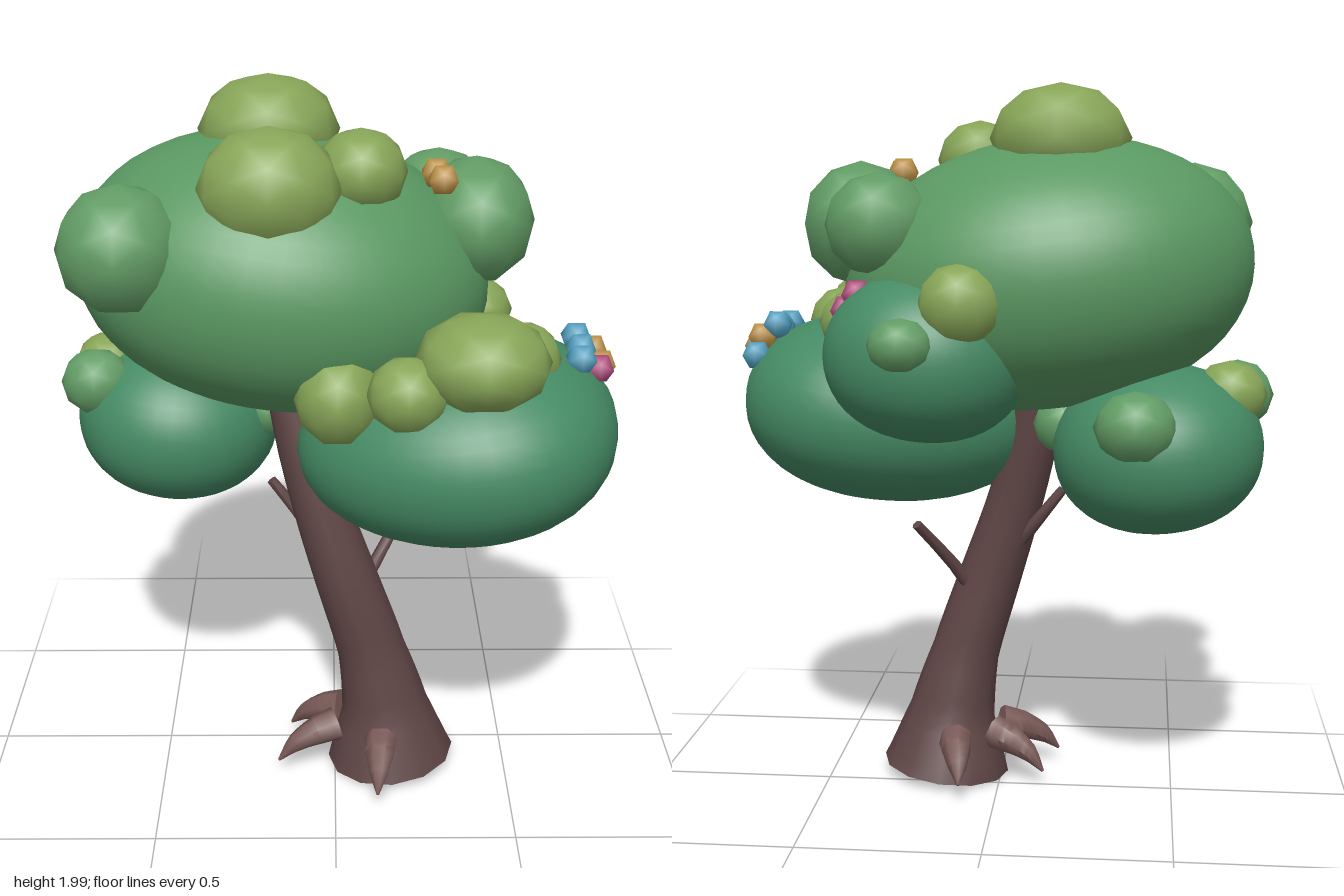
import * as THREE from 'three';
import { mergeVertices, toCreasedNormals } from 'three/addons/utils/BufferGeometryUtils.js';

const V = (p) => new THREE.Vector3(...p);

// Weld seams so that shading is continuous
function weld(geo) {
  geo.deleteAttribute('uv');
  geo.deleteAttribute('normal');
  const g = mergeVertices(geo, 1e-4);
  g.computeVertexNormals();
  return g;
}

// Leaf mass: unit sphere with a slightly fuller underside, narrowed towards -x by taper
function crownGeometry(taper) {
  const geo = new THREE.SphereGeometry(1, 36, 24);
  const p = geo.attributes.position;
  const e = 2.18;
  for (let i = 0; i < p.count; i++) {
    const y = p.getY(i), r = Math.hypot(p.getX(i), p.getZ(i));
    const full = y < 0 && r > 1e-4;
    const k = full ? Math.pow(Math.max(0, 1 - Math.pow(-y, e)), 1 / e) / r : 1;
    const x = p.getX(i) * k;
    p.setXYZ(i, x, y * (1 + taper * 0.5 * x), p.getZ(i) * k * (1 + taper * x));
  }
  return weld(geo);
}

// Tapered limb that follows a curve through rows of [x, y, z, radius]
function limbGeometry(rows, sides, steps, open = false) {
  const curve = new THREE.CatmullRomCurve3(rows.map((r) => V(r.slice(0, 3))));
  const geo = new THREE.CylinderGeometry(1, 1, 1, sides, steps, open);
  const p = geo.attributes.position;
  const q = new THREE.Quaternion(), up = new THREE.Vector3(0, 1, 0), v = new THREE.Vector3();
  for (let i = 0; i < p.count; i++) {
    const t = THREE.MathUtils.clamp(p.getY(i) + 0.5, 0, 1);
    const f = t * (rows.length - 1);
    const a = Math.min(Math.floor(f), rows.length - 2);
    const radius = THREE.MathUtils.lerp(rows[a][3], rows[a + 1][3], f - a);
    q.setFromUnitVectors(up, curve.getTangent(t).normalize());
    v.set(p.getX(i) * radius, 0, p.getZ(i) * radius).applyQuaternion(q).add(curve.getPoint(t));
    p.setXYZ(i, v.x, v.y, v.z);
  }
  return toCreasedNormals(weld(geo), 0.9);
}

export function createModel() {
  const tree = new THREE.Group();
  tree.name = 'tree';
  const mat = (color) => new THREE.MeshStandardMaterial({ color });
  const bark = mat(0x5f4545), root = mat(0x795a57);
  bark.side = THREE.DoubleSide;
  const leaf = { top: mat(0x5a9862), low: mat(0x458a64), olive: mat(0x88a658), green: mat(0x639d66) };
  const petal = { blue: mat(0x4f9fc0), pink: mat(0xb0447a), orange: mat(0xbd9043) };

  const add = (name, geo, material, parent = tree) => {
    const m = new THREE.Mesh(geo, material);
    m.name = name;
    parent.add(m);
    return m;
  };
  const group = (name) => {
    const g = new THREE.Group();
    g.name = name;
    tree.add(g);
    return g;
  };

  // Leaning trunk with a flared, open foot
  add('trunk', limbGeometry([
    [0.165, 0.028, 0.1, 0.185], [0.145, 0.2, 0.1, 0.125], [0.105, 0.38, 0.1, 0.098],
    [0.035, 0.6, 0.1, 0.09], [-0.03, 0.8, 0.085, 0.081], [-0.085, 1.0, 0.06, 0.075],
    [-0.14, 1.25, 0.02, 0.065],
  ], 12, 24, true), bark);

  // Bare twigs
  const twigs = group('twigs');
  [
    [[0.06, 0.53, 0.08, 0.022], [0.13, 0.65, 0.03, 0.018], [0.225, 0.79, -0.07, 0.014]],
    [[-0.04, 0.7, 0.06, 0.022], [-0.11, 0.79, 0.03, 0.018], [-0.18, 0.88, 0.02, 0.014]],
    [[-0.04, 0.88, 0.12, 0.02], [-0.02, 0.94, 0.15, 0.019], [-0.01, 1.02, 0.17, 0.018]],
  ].forEach((rows) => add('twig', limbGeometry(rows, 7, 4), bark, twigs));

  // Claw-like roots, arching out of the foot
  const roots = group('roots');
  [[0.12, 0.06, 0.375], [-0.165, 0.05, 0.19], [-0.13, 0.05, -0.01], [0.1, 0.06, -0.165]].forEach(([x, y, z]) => {
    const at = (k, h, r) => [0.145 + (x - 0.145) * k, h, 0.1 + (z - 0.1) * k, r];
    add('root', limbGeometry([
      at(0.45, 0.145, 0.05), at(0.64, 0.13, 0.043), at(0.84, 0.1, 0.028), at(1, y, 0.004),
    ], 7, 9), root, roots);
  });

  // Large leaf masses: name, centre, radii, tilt, taper, material
  [
    ['mainCrown', [-0.14, 1.495, -0.03], [0.56, 0.368, 0.47], -0.13, 0, leaf.top],
    ['frontCrown', [0.325, 1.09, 0.175], [0.43, 0.268, 0.4], 0.13, 0.13, leaf.low],
    ['sideCrown', [-0.445, 1.03, -0.12], [0.285, 0.23, 0.295], -0.08, 0, leaf.low],
    ['backCrown', [0.165, 1.29, -0.275], [0.272, 0.225, 0.262], 0.1, 0, leaf.low],
  ].forEach(([name, c, r, tilt, taper, m]) => {
    const mesh = add(name, crownGeometry(taper), m);
    mesh.position.set(...c);
    mesh.scale.set(...r);
    mesh.rotation.z = tilt;
  });

  // Small leaf tufts: centre, radii, material
  const tuftGeo = weld(new THREE.IcosahedronGeometry(1, 1));
  const tufts = group('leafTufts');
  [
    [[-0.175, 1.855, -0.1], [0.19, 0.145, 0.195], 'olive'],
    [[-0.165, 1.775, 0.235], [0.185, 0.16, 0.16], 'olive'],
    [[0.065, 1.8, 0.145], [0.12, 0.11, 0.125], 'olive'],
    [[-0.54, 1.625, 0.245], [0.168, 0.168, 0.175], 'green'],
    [[0.375, 1.625, -0.03], [0.16, 0.172, 0.205], 'green'],
    [[0.29, 1.63, -0.25], [0.145, 0.138, 0.145], 'green'],
    [[0.055, 1.44, -0.45], [0.11, 0.105, 0.1], 'olive'],
    [[0.2, 1.34, -0.505], [0.085, 0.07, 0.08], 'green'],
    [[0.37, 1.37, 0.375], [0.175, 0.125, 0.175], 'olive'],
    [[0.475, 1.335, 0.26], [0.11, 0.1, 0.1], 'olive'],
    [[0.005, 1.265, 0.34], [0.115, 0.13, 0.13], 'olive'],
    [[0.18, 1.3, 0.42], [0.105, 0.1, 0.1], 'olive'],
    [[0.385, 1.36, -0.07], [0.105, 0.09, 0.105], 'olive'],
    [[-0.66, 1.165, -0.02], [0.1, 0.095, 0.085], 'green'],
    [[-0.635, 1.18, -0.13], [0.1, 0.09, 0.095], 'olive'],
    [[-0.385, 1.12, -0.36], [0.11, 0.095, 0.11], 'green'],
    [[-0.19, 1.08, -0.05], [0.09, 0.085, 0.09], 'green'],
  ].forEach(([c, r, m]) => {
    const mesh = add('leafTuft', tuftGeo, leaf[m], tufts);
    mesh.position.set(...c);
    mesh.scale.set(...r);
  });

  // Small rounded blossoms
  const budGeo = weld(new THREE.IcosahedronGeometry(0.044, 0));
  const blossoms = group('blossoms');
  const bloom = {
    blue: [[0.64, 1.325, 0.235], [0.65, 1.325, 0.15], [0.645, 1.335, 0.09], [0.7, 1.25, 0.055]],
    orange: [[0.71, 1.27, 0.125], [0.69, 1.3, 0.09], [0.265, 1.765, 0.025], [0.28, 1.76, 0.08], [-0.26, 1.22, -0.2]],
    pink: [[0.695, 1.28, 0.185], [0.395, 1.4, -0.19], [0.345, 1.45, -0.29], [-0.22, 1.19, -0.18]],
  };
  Object.entries(bloom).forEach(([colour, spots]) => spots.forEach((s) => {
    add('blossom', budGeo, petal[colour], blossoms).position.set(...s);
  }));

  return tree;
}
